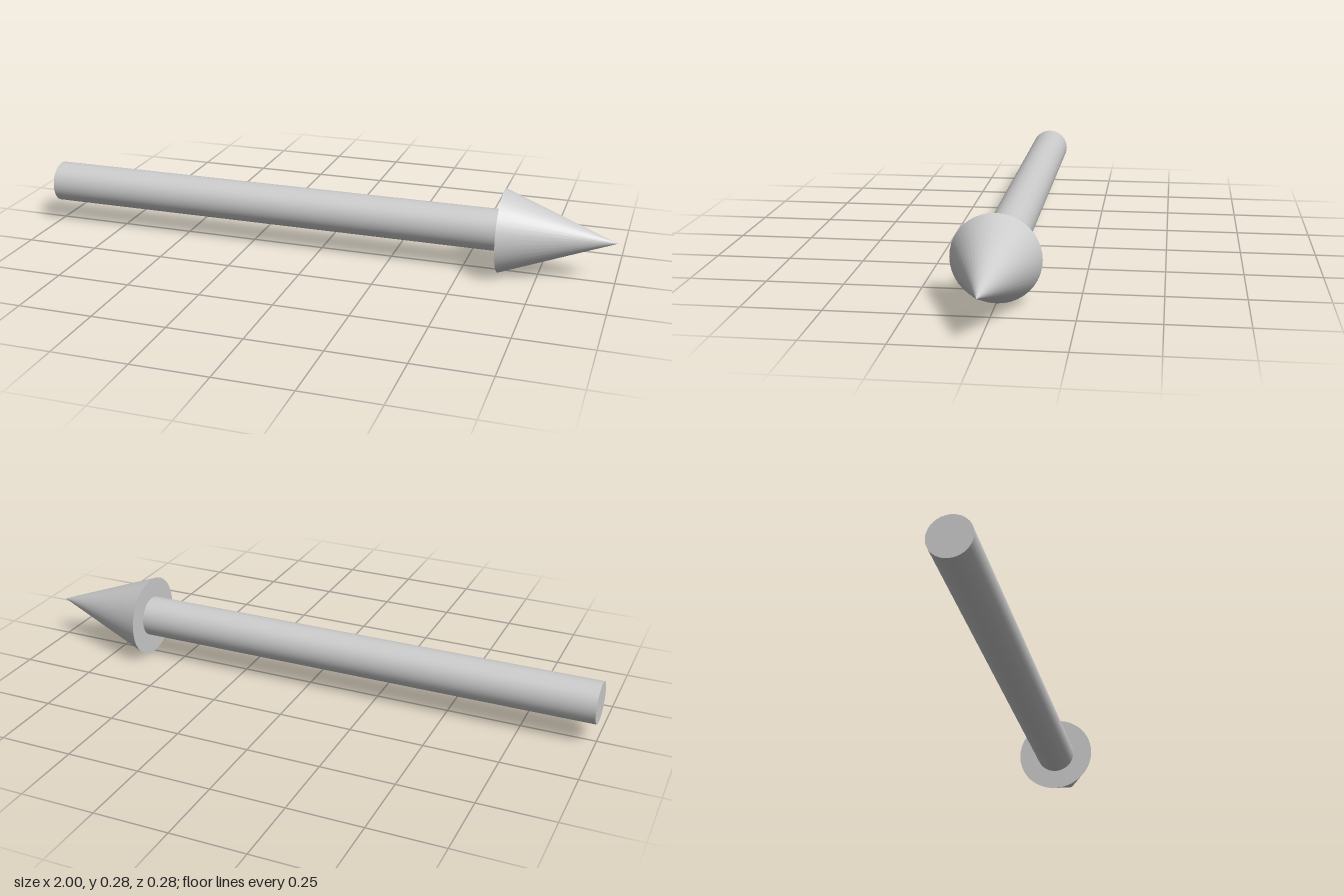
import * as THREE from 'three';

const HEAD_RADIUS = 0.14;
const SHAFT_RADIUS = 0.07;
const NECK_X = 0.625; // where the shaft meets the head
const SIDES = 40;

export function createModel() {
  const arrow = new THREE.Group();
  arrow.name = 'arrow';
  const material = new THREE.MeshStandardMaterial({ color: 0xcccccc });

  // Adds a round part lying along x, from x0 to x1
  const addRound = (name, r0, r1, x0, x1) => {
    const geometry = new THREE.CylinderGeometry(r1, r0, x1 - x0, SIDES);
    geometry.rotateZ(-Math.PI / 2);
    const mesh = new THREE.Mesh(geometry, material);
    mesh.name = name;
    mesh.position.set((x0 + x1) / 2, HEAD_RADIUS, 0);
    arrow.add(mesh);
  };

  addRound('shaft', SHAFT_RADIUS, SHAFT_RADIUS, -1, NECK_X);
  addRound('arrowhead', HEAD_RADIUS, 0, NECK_X, 1);

  return arrow;
}
